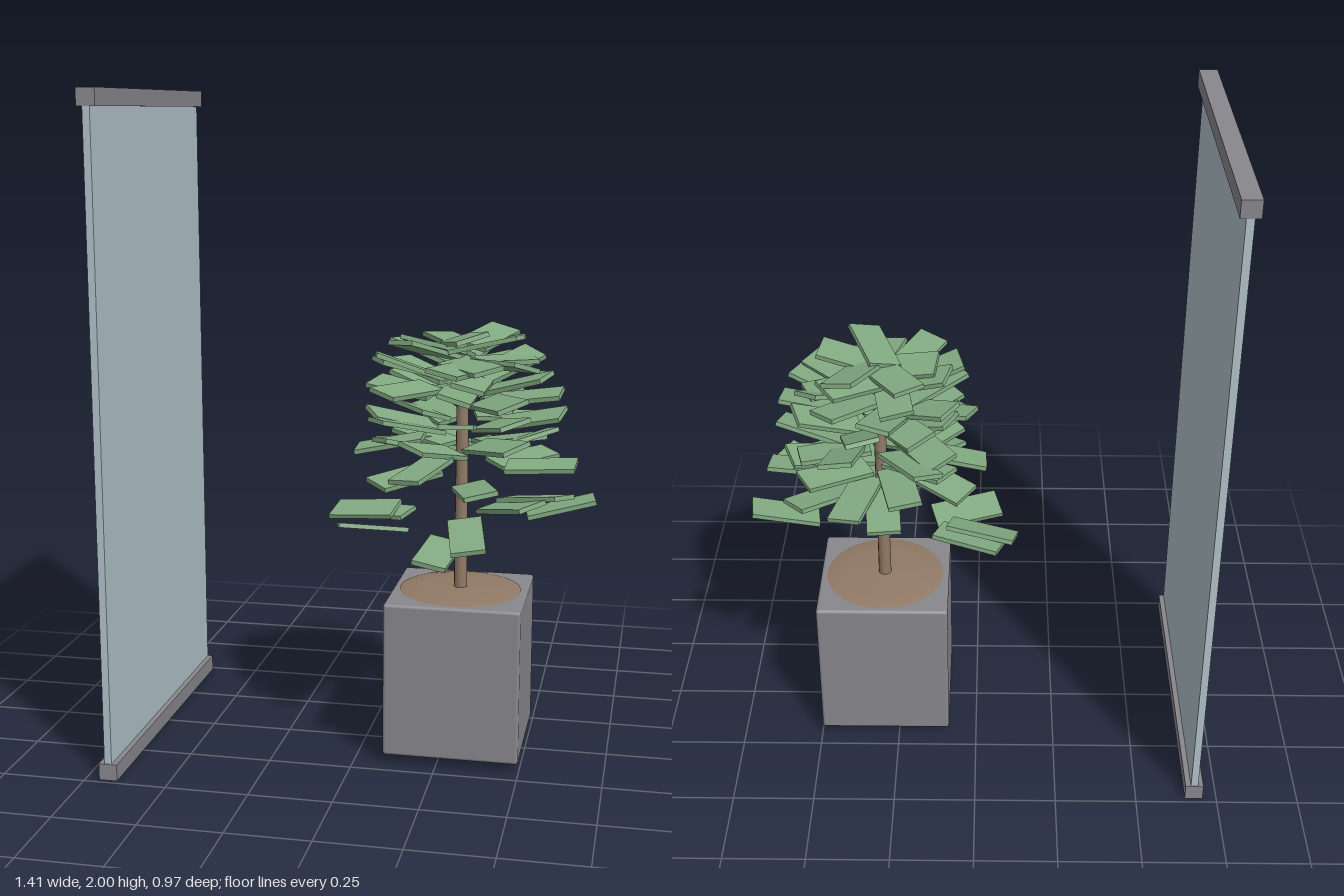
import * as THREE from 'three';
import { RoundedBoxGeometry } from 'three/addons/geometries/RoundedBoxGeometry.js';

export function createModel() {
  const model = new THREE.Group();
  model.name = 'plantAndScreen';
  const mat = (name, color) => {
    const m = new THREE.MeshStandardMaterial({ color });
    m.name = name;
    return m;
  };
  const grey = mat('stone grey', 0x88878d);
  const glass = mat('pale blue glass', 0xb2c2ca);
  const bark = mat('brown', 0x917a66);
  const green = mat('leaf green', 0x82aa82);
  const add = (parent, name, geometry, material, x, y, z) => {
    const mesh = new THREE.Mesh(geometry, material);
    mesh.name = name;
    mesh.position.set(x, y, z);
    parent.add(mesh);
    return mesh;
  };

  // Upright glass screen between two rails
  const screen = new THREE.Group();
  screen.name = 'screen';
  model.add(screen);
  const rail = new THREE.BoxGeometry(0.055, 0.05, 0.97);
  add(screen, 'bottomRail', rail, grey, -0.68, 0.025, 0);
  add(screen, 'topRail', rail, grey, -0.68, 1.975, 0);
  add(screen, 'glassPane', new THREE.BoxGeometry(0.022, 1.9, 0.965), glass, -0.68, 1, 0);

  // Pot, soil mound and trunk
  const plant = new THREE.Group();
  plant.name = 'plant';
  plant.position.x = 0.293;
  model.add(plant);
  add(plant, 'pot', new RoundedBoxGeometry(0.41, 0.475, 0.405, 2, 0.01), grey, 0, 0.264, 0);
  const mound = [[0.187, -0.01], [0.185, 0.002], [0.12, 0.006], [0, 0.01]];
  add(plant, 'soil', new THREE.LatheGeometry(mound.map(p => new THREE.Vector2(...p)), 32),
    bark, 0, 0.501, 0);
  add(plant, 'trunk', new THREE.CylinderGeometry(0.018, 0.02, 0.64, 12), bark, 0, 0.81, 0);

  // Leaves point outward from the trunk: angle, radius, height, tilt
  const leaves = new THREE.Group();
  leaves.name = 'leaves';
  plant.add(leaves);
  let seed = 7;
  const rand = () => {
    seed = (seed * 16807) % 2147483647;
    return seed / 2147483647 - 0.5;
  };
  const leafShape = new THREE.BoxGeometry(0.21, 0.014, 0.1);
  const rad = THREE.MathUtils.degToRad;
  const leaf = (angle, radius, y, tilt, twist = 0) => {
    const a = rad(angle);
    const m = add(leaves, 'leaf', leafShape, green, Math.cos(a) * radius, y, Math.sin(a) * radius);
    m.rotation.set(rad(rand() * 34), -a + rad(twist), rad(tilt), 'YZX');
  };

  // Long lower leaves
  [
    [193, 0.32, 0.72, -6], [165, 0.27, 0.7, 5], [200, 0.29, 0.71, -3],
    [96, 0.28, 0.69, -6], [79, 0.27, 0.74, -12],
    [352, 0.3, 0.765, 14], [30, 0.27, 0.83, 10], [3, 0.24, 0.9, 4], [46, 0.24, 0.81, 12],
    [265, 0.22, 0.9, -9], [287, 0.21, 0.92, -6], [110, 0.25, 0.92, -8], [72, 0.21, 0.86, 4],
    [135, 0.21, 0.88, -6], [180, 0.22, 0.95, -12], [215, 0.22, 0.94, -8], [320, 0.22, 0.89, 5],
  ].forEach(l => leaf(...l));

  // Crown tiers: height, leaf count, radius, tilt
  [
    [0.97, 7, 0.17, 4], [1.04, 9, 0.19, 8], [1.11, 9, 0.18, 12],
    [1.18, 9, 0.16, 10], [1.23, 7, 0.13, 6], [1.265, 5, 0.09, 3],
  ].forEach(([y, count, radius, tilt], tier) => {
    for (let i = 0; i < count; i++) {
      leaf((i * 360) / count + tier * 47 + rand() * 25, radius + rand() * 0.05,
        y + rand() * 0.05, tilt + rand() * 24, rand() * 50);
    }
  });
  return model;
}
